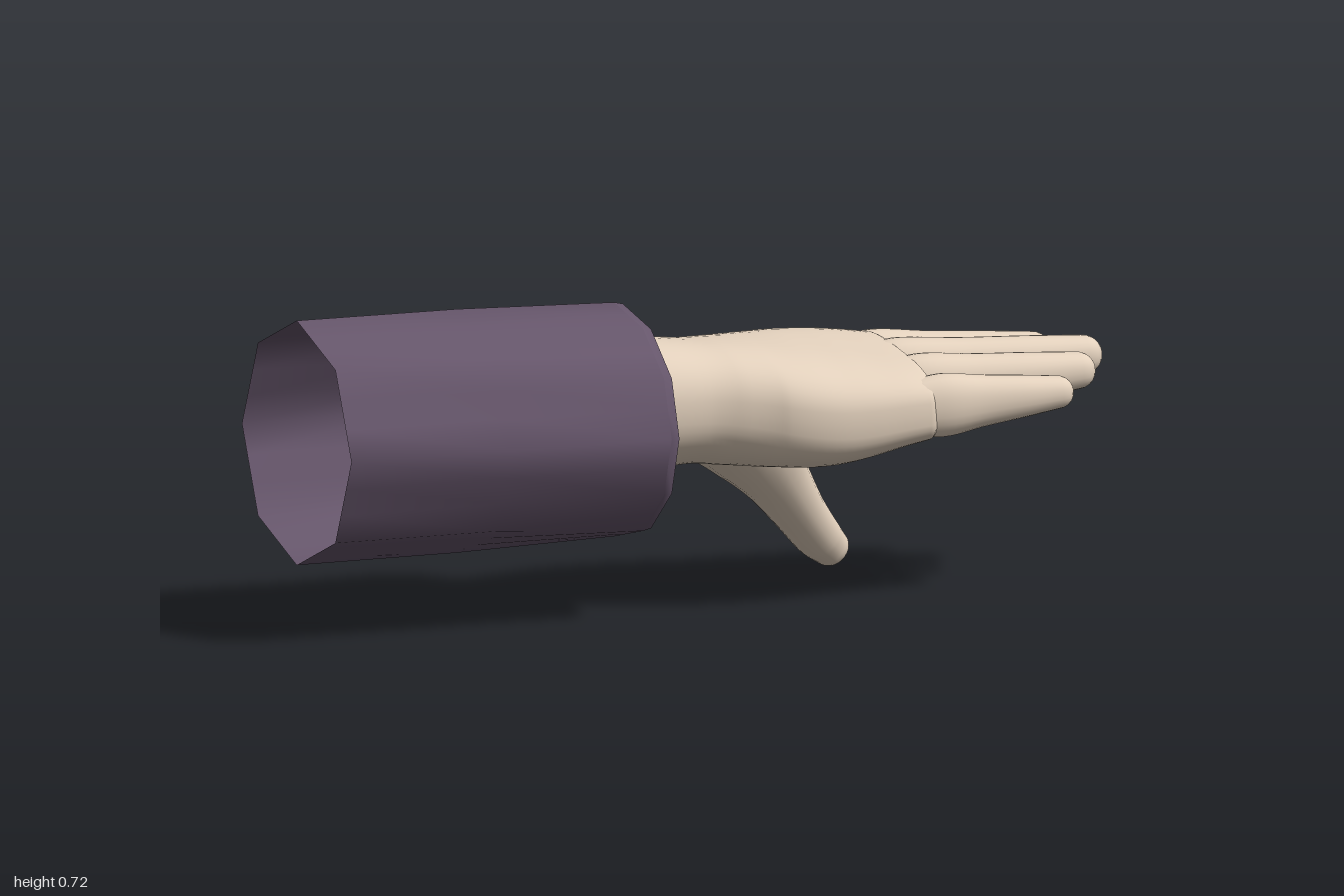
import * as THREE from 'three';

const skin = new THREE.MeshStandardMaterial({ color: 0xe3d1bd });
skin.name = 'skin';
const cloth = new THREE.MeshStandardMaterial({ color: 0x66566b, side: THREE.DoubleSide });
cloth.name = 'sleeve cloth';

// Smooth surface through closed rings of points
function skinRings(name, rings, material) {
  const n = rings[0].length, pos = [], index = [];
  for (const ring of rings) for (const p of ring) pos.push(p.x, p.y, p.z);
  for (let i = 0; i < rings.length - 1; i++) {
    for (let j = 0; j < n; j++) {
      const a = i * n + j, b = i * n + (j + 1) % n, c = a + n, d = b + n;
      index.push(a, c, b, b, c, d);
    }
  }
  const geo = new THREE.BufferGeometry();
  geo.setAttribute('position', new THREE.Float32BufferAttribute(pos, 3));
  geo.setIndex(index);
  geo.computeVertexNormals();
  const mesh = new THREE.Mesh(geo, material);
  mesh.name = name;
  return mesh;
}

// Rounded limb: stations are [x, y, z, half height, half width]; the end is domed.
// The outline power goes from "from" to "to" (below 1 is squarer).
function limb(name, stations, { from = 1, to = 1, dome = 1, tilt = 0, steps = 24, sides = 24 } = {}) {
  const path = new THREE.CatmullRomCurve3(stations.map(s => new THREE.Vector3(s[0], s[1], s[2])));
  const size = new THREE.CatmullRomCurve3(stations.map(s => new THREE.Vector3(s[3], s[4], 0)));
  const rings = [];
  const addRing = (t, angle) => {
    const T = path.getTangent(t), r = size.getPoint(t);
    const S = new THREE.Vector3(0, 0, 1).addScaledVector(T, -T.z).normalize();
    const U = new THREE.Vector3().crossVectors(S, T);
    const C = path.getPoint(t).addScaledVector(T, Math.sin(angle) * r.x * dome);
    const k = Math.cos(angle), power = from + (to - from) * t, ring = [];
    const bend = v => Math.sign(v) * Math.pow(Math.abs(v), power);
    for (let j = 0; j < sides; j++) {
      const a = j / sides * Math.PI * 2;
      const p = C.clone()
        .addScaledVector(U, bend(Math.sin(a)) * r.x * k)
        .addScaledVector(S, bend(Math.cos(a)) * r.y * k);
      p.y -= tilt * (p.z - 0.05) * THREE.MathUtils.smoothstep(p.x, -0.05, 0.3);
      ring.push(p);
    }
    rings.push(ring);
  };
  for (let i = 0; i <= steps; i++) addRing(i / steps, 0);
  for (let i = 1; i <= 6; i++) addRing(1, i / 6 * Math.PI / 2);
  return skinRings(name, rings, skin);
}

// Sleeve ring: a polygon with a given number of corners, one at the top
function sleeveRing([x, y, z, ry, rz, corners]) {
  const ring = [], step = Math.PI * 2 / corners;
  for (let j = 0; j < 24; j++) {
    const a = j / 24 * Math.PI * 2;
    const r = Math.cos(step / 2) / Math.cos(a % step - step / 2);
    ring.push(new THREE.Vector3(x, y + Math.sin(a) * ry * r, z + Math.cos(a) * rz * r));
  }
  return ring;
}

export function createModel() {
  const model = new THREE.Group();
  model.name = 'handAndSleeve';

  // Sleeve: open and eight-sided at the back, rounder at the cuff
  const sleeve = new THREE.Group();
  sleeve.name = 'sleeve';
  const cuff = [-0.21, 0.433, 0.032, 0.268, 0.308, 12];
  const lip = [-0.185, 0.433, 0.032, 0.25, 0.285, 12];
  const outer = [
    [-1, 0.435, 0.03, 0.28, 0.292, 8],
    [-0.6, 0.434, 0.03, 0.279, 0.303, 8],
    cuff,
  ];
  const rim = [cuff, [-0.188, 0.433, 0.032, 0.263, 0.302, 12], lip];
  // Lining closes around the wrist
  const lining = [
    lip,
    [-0.36, 0.44, 0.035, 0.205, 0.24, 12],
    [-0.5, 0.46, 0.045, 0.12, 0.14, 12],
    [-0.52, 0.46, 0.045, 0, 0, 12],
  ];
  sleeve.add(
    skinRings('sleeveOuter', outer.map(sleeveRing), cloth),
    skinRings('cuffRim', rim.map(sleeveRing), cloth),
    skinRings('sleeveLining', lining.map(sleeveRing), cloth),
  );
  model.add(sleeve);

  // Wrist and palm, leaning down towards the little finger
  const hand = new THREE.Group();
  hand.name = 'hand';
  hand.add(limb('palm', [
    [-0.47, 0.47, 0.045, 0.13, 0.15],
    [-0.33, 0.47, 0.045, 0.148, 0.18],
    [-0.18, 0.47, 0.045, 0.15, 0.185],
    [-0.06, 0.468, 0.047, 0.14, 0.188],
    [0.02, 0.463, 0.047, 0.14, 0.209],
    [0.12, 0.457, 0.05, 0.138, 0.24],
    [0.22, 0.457, 0.064, 0.132, 0.252],
    [0.32, 0.464, 0.074, 0.118, 0.252],
    [0.41, 0.472, 0.083, 0.1, 0.245],
    [0.47, 0.475, 0.087, 0.088, 0.238],
  ], { from: 0.95, to: 0.62, dome: 0.3, tilt: 0.12, steps: 48, sides: 48 }));

  // Fingers: name, z at the knuckle, z at the tip, tip x, knuckle y, tip y, half width
  const fingers = [
    ['indexFinger', -0.096, -0.094, 0.932, 0.488, 0.495, 0.052],
    ['middleFinger', 0.03, 0.035, 1.0, 0.479, 0.499, 0.056],
    ['ringFinger', 0.157, 0.16, 0.925, 0.466, 0.487, 0.053],
    ['littleFinger', 0.273, 0.27, 0.82, 0.448, 0.461, 0.047],
  ];
  for (const [name, z0, z1, tip, y0, y1, w] of fingers) {
    const x0 = 0.36, x1 = tip - w * 0.8;
    // The root is sunk in the palm and swells out of it at the knuckle
    const at = (x, h, k) => {
      const t = (x - x0) / (x1 - x0);
      return [x, y0 + (y1 - y0) * t, z0 + (z1 - z0) * t, w * h, w * k];
    };
    const along = t => 0.5 + (x1 - 0.5) * t;
    hand.add(limb(name, [
      at(x0, 0.9, 0.7), at(0.43, 1.4, 0.95), at(0.5, 1.54, 1.12),
      at(along(0.33), 1.26, 1.02), at(along(0.7), 1.02, 0.97), at(x1, 0.8, 0.84),
    ], { from: 0.9, to: 0.9 }));
  }

  // Thumb, with a broad root, hanging down and out to the back
  hand.add(limb('thumb', [
    [0.0, 0.45, -0.02, 0.1, 0.11],
    [0.1, 0.41, -0.075, 0.122, 0.12],
    [0.2, 0.335, -0.128, 0.11, 0.103],
    [0.295, 0.232, -0.187, 0.076, 0.081],
    [0.375, 0.143, -0.238, 0.06, 0.066],
    [0.445, 0.072, -0.283, 0.053, 0.058],
    [0.481, 0.042, -0.3, 0.045, 0.047],
  ], { from: 0.95, to: 0.95, dome: 0.85 }));
  model.add(hand);

  return model;
}
